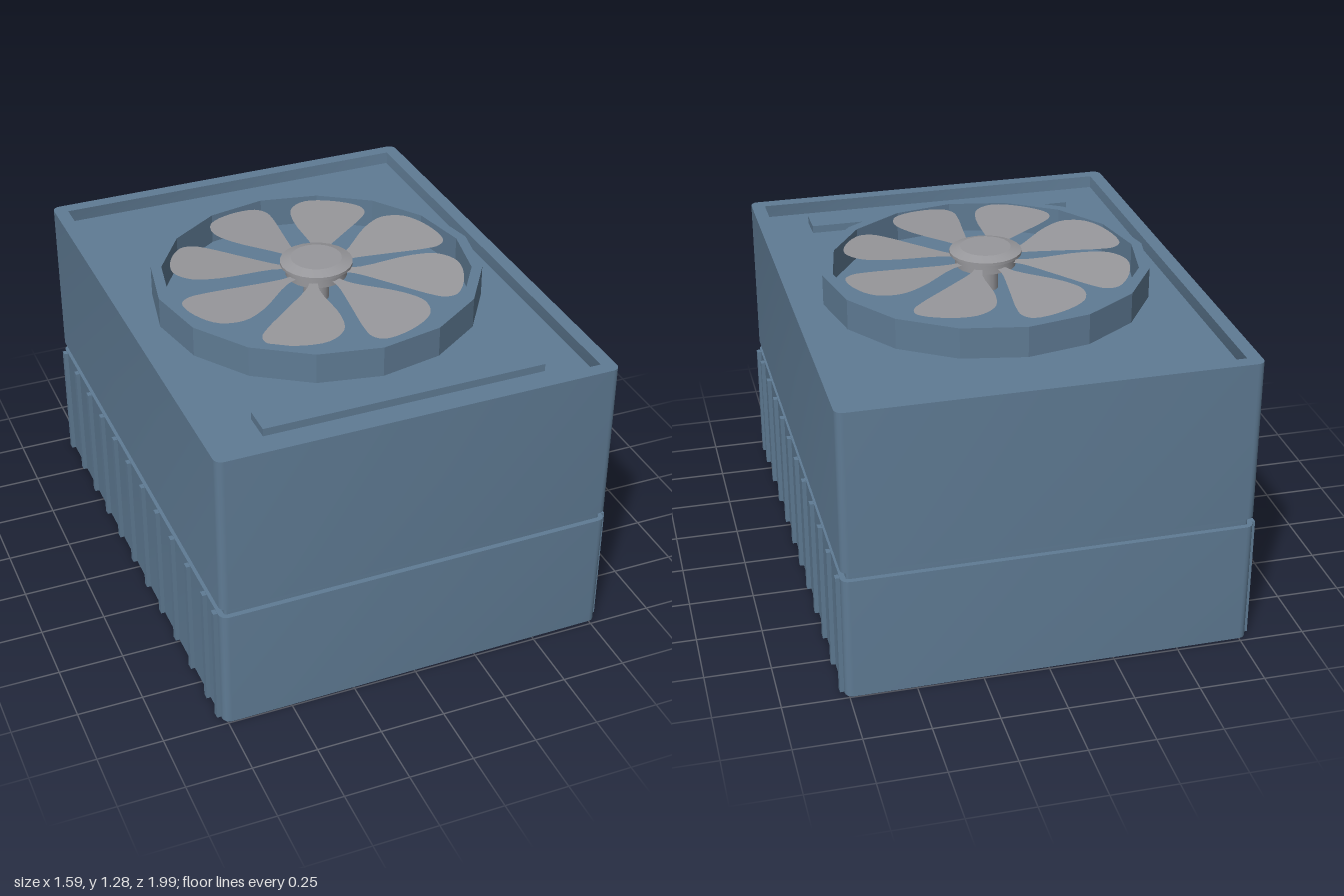
import * as THREE from 'three';
import { toCreasedNormals } from 'three/addons/utils/BufferGeometryUtils.js';

const HALF_X = 0.772, HALF_Z = 0.99, FLOOR = 1.11;

// Rounded rectangle loop in the xz plane, pulled in by an inset
function rectLoop(inset, y) {
  const r = Math.max(0.03 - inset, 0.002);
  const cx = HALF_X - inset - r, cz = HALF_Z - inset - r;
  const pts = [];
  [[1, 1], [-1, 1], [-1, -1], [1, -1]].forEach(([sx, sz], corner) => {
    for (let i = 0; i <= 4; i++) {
      const a = (corner + i / 4) * Math.PI / 2;
      pts.push([sx * cx + r * Math.cos(a), y, sz * cz + r * Math.sin(a)]);
    }
  });
  return pts;
}

// Open-bottomed casing: stacked loops closed by the recessed top panel
function casingGeometry() {
  const profile = [[0, 0], [0, 0.49], [0.02, 0.49], [0.02, 0.525], [0, 0.525],
    [0, 1.16], [0.054, 1.16], [0.054, FLOOR]];
  const loops = profile.map(([inset, y]) => rectLoop(inset, y));
  const pos = [];
  const n = loops[0].length;
  for (let k = 0; k < loops.length - 1; k++) {
    for (let i = 0; i < n; i++) {
      const j = (i + 1) % n, L = loops[k], U = loops[k + 1];
      pos.push(...L[i], ...U[i], ...L[j], ...L[j], ...U[i], ...U[j]);
    }
  }
  const top = loops[loops.length - 1];
  for (let i = 0; i < n; i++) pos.push(0, FLOOR, 0, ...top[(i + 1) % n], ...top[i]);
  const g = new THREE.BufferGeometry();
  g.setAttribute('position', new THREE.Float32BufferAttribute(pos, 3));
  return toCreasedNormals(g, 0.6);
}

function lathe(points, sides, crease) {
  const g = new THREE.LatheGeometry(points.map(([r, y]) => new THREE.Vector2(r, y)), sides);
  return toCreasedNormals(g, crease);
}

// Petal outline: local y runs outward along the blade, local x across it
function bladeGeometry() {
  const side = [[-0.015, 0.1], [-0.03, 0.17], [-0.126, 0.356], [-0.146, 0.46], [-0.1, 0.537],
    [0.015, 0.566], [0.125, 0.545], [0.148, 0.5], [0.135, 0.44], [0.074, 0.29], [0.02, 0.15], [0.015, 0.1]];
  const curve = new THREE.CatmullRomCurve3(side.map(([x, y]) => new THREE.Vector3(x, y, 0)));
  const shape = new THREE.Shape(curve.getPoints(44).map(p => new THREE.Vector2(p.x, p.y)));
  const g = new THREE.ShapeGeometry(shape);
  g.rotateX(-Math.PI / 2);
  // Pitch the blade slightly about its own axis
  const p = g.attributes.position;
  for (let i = 0; i < p.count; i++) p.setY(i, 1.229 - 0.07 * p.getX(i));
  g.computeVertexNormals();
  return g;
}

export function createModel() {
  const casingBlue = new THREE.MeshStandardMaterial({ color: 0x5f7b94, side: THREE.DoubleSide });
  casingBlue.name = 'casingBlue';
  const fanGrey = new THREE.MeshStandardMaterial({ color: 0x98989c, side: THREE.DoubleSide });
  fanGrey.name = 'fanGrey';

  const model = new THREE.Group();
  model.name = 'rooftopFanUnit';
  const add = (parent, name, geometry, material) => {
    const m = new THREE.Mesh(geometry, material);
    m.name = name;
    parent.add(m);
    return m;
  };

  add(model, 'casing', casingGeometry(), casingBlue);

  // Vertical ribs on both long sides of the base
  const ribs = new THREE.Group();
  ribs.name = 'sideRibs';
  model.add(ribs);
  const ribZ = [0.938];
  for (let k = 0; k < 11; k++) ribZ.push(0.825 - 0.1765 * k);
  const ribGeo = new THREE.BoxGeometry(0.018, 0.488, 0.026);
  for (const sx of [1, -1]) {
    for (const z of ribZ) add(ribs, 'rib', ribGeo, casingBlue).position.set(sx * 0.779, 0.244, z);
  }

  // Raised bar on the top panel
  add(model, 'topBar', new THREE.BoxGeometry(1.095, 0.03, 0.115), casingBlue)
    .position.set(0.005, FLOOR + 0.015, 0.772);

  // Sixteen-sided fan shroud
  add(model, 'fanShroud', lathe([[0.636, FLOOR], [0.636, 1.23], [0.595, 1.23], [0.595, FLOOR]], 16, 0.1), casingBlue);

  // Fan: shaft, hub and eight blades
  const fan = new THREE.Group();
  fan.name = 'fan';
  fan.position.set(-0.005, 0, 0.01);
  model.add(fan);
  add(fan, 'shaft', new THREE.CylinderGeometry(0.05, 0.05, 0.1, 16), fanGrey).position.y = 1.16;
  add(fan, 'hub', lathe([[0, 1.21], [0.118, 1.21], [0.118, 1.25], [0.14, 1.255], [0.14, 1.266],
    [0.098, 1.28], [0, 1.28]], 24, 0.3), fanGrey);
  const bladeGeo = bladeGeometry();
  for (let i = 0; i < 8; i++) {
    add(fan, 'blade', bladeGeo, fanGrey).rotation.y = -THREE.MathUtils.degToRad(28 + i * 45);
  }

  // The whole unit sits very slightly turned
  model.rotation.y = 0.0087;
  return model;
}
